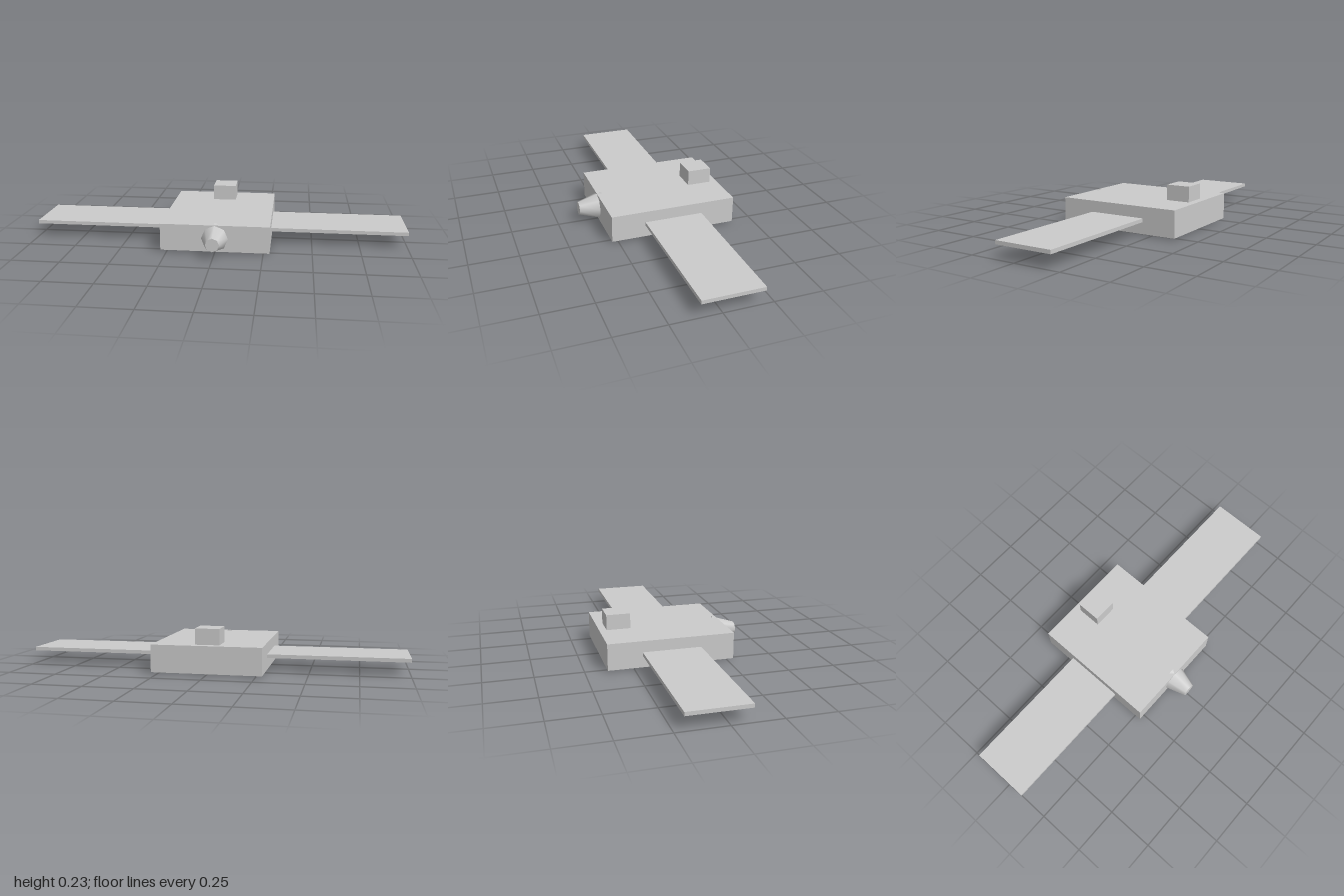
import * as THREE from 'three';

export function createModel() {
  const model = new THREE.Group();
  const material = new THREE.MeshStandardMaterial({ color: 0xcccccc });

  // Box given by its min and max corners
  const addBox = (name, [x0, y0, z0], [x1, y1, z1]) => {
    const mesh = new THREE.Mesh(new THREE.BoxGeometry(x1 - x0, y1 - y0, z1 - z0), material);
    mesh.name = name;
    mesh.position.set((x0 + x1) / 2, (y0 + y1) / 2, (z0 + z1) / 2);
    model.add(mesh);
  };

  // Flat main body with a small block on top at the rear
  addBox('body', [-0.283, 0.008, -0.387], [0.283, 0.149, 0.283]);
  addBox('topBlock', [-0.063, 0.149, -0.348], [0.063, 0.231, -0.22]);

  // Thin side panels
  addBox('leftPanel', [0.283, 0.07, -0.206], [1, 0.089, 0.104]);
  addBox('rightPanel', [-1, 0.07, -0.206], [-0.283, 0.089, 0.104]);

  // Eight-sided tapered nozzle, its wide end sunk into the front of the body
  const nozzle = new THREE.Mesh(new THREE.CylinderGeometry(0.036, 0.0775, 0.129, 8), material);
  nozzle.name = 'nozzle';
  nozzle.rotation.x = Math.PI / 2;
  nozzle.position.set(0, 0.078, 0.3225);
  model.add(nozzle);

  return model;
}
